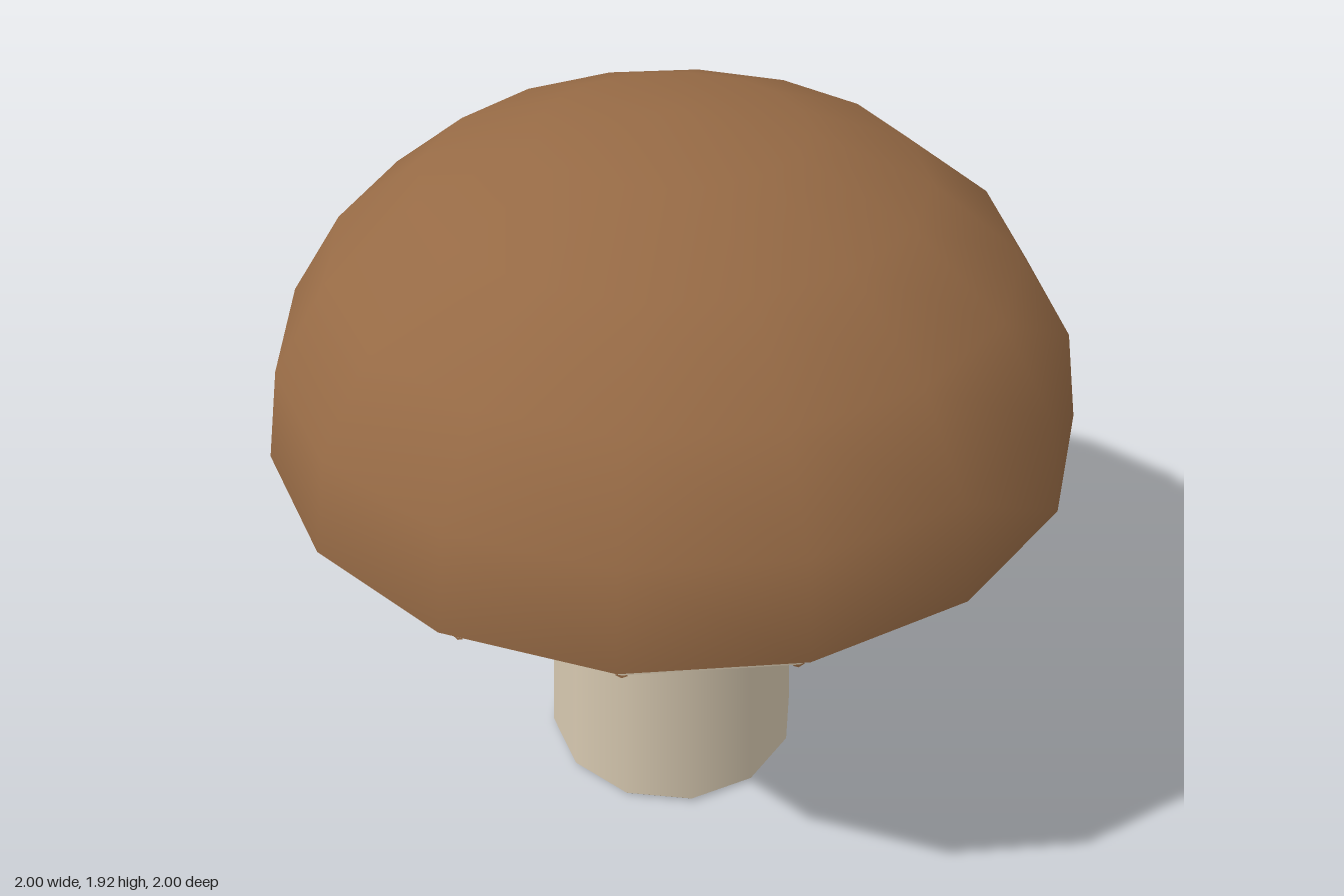
import * as THREE from 'three';

export function createModel() {
  const model = new THREE.Group();
  model.name = 'mushroom';
  const brown = new THREE.MeshStandardMaterial({ color: 0x966a45 });
  brown.name = 'cap brown';
  const cream = new THREE.MeshStandardMaterial({ color: 0xd3c5ad });
  cream.name = 'stem cream';

  function add(name, geometry, material, y, parent = model) {
    const mesh = new THREE.Mesh(geometry, material);
    mesh.name = name;
    mesh.position.y = y;
    parent.add(mesh);
    return mesh;
  }

  const rimY = 1.17;

  // Domed cap, a flattened half sphere
  const dome = new THREE.SphereGeometry(1, 16, 5, 0, Math.PI * 2, 0, Math.PI / 2);
  dome.scale(1, 0.755, 1);
  add('cap', dome, brown, rimY);

  // Flat underside closing the cap
  add('capUnderside', new THREE.CircleGeometry(1, 16).rotateX(Math.PI / 2), brown, rimY);

  // Pale disc under the cap
  add('gillDisc', new THREE.CylinderGeometry(0.945, 0.945, 0.06, 16), cream, rimY - 0.03);

  // Tapered stem with a slightly eased foot
  add('stem', new THREE.CylinderGeometry(0.305, 0.36, 1.11, 12, 1, true), cream, 0.565);
  add('stemFoot', new THREE.CylinderGeometry(0.36, 0.352, 0.01, 12), cream, 0.005);

  // Radial gills
  const gills = new THREE.Group();
  gills.name = 'gills';
  model.add(gills);
  const inner = 0.325, outer = 0.942;
  const rod = new THREE.CylinderGeometry(0.014, 0.014, outer - inner, 6);
  rod.rotateX(Math.PI / 2).translate(0, 0, (inner + outer) / 2);
  for (let i = 0; i < 16; i++) {
    add('gill', rod, brown, 1.113, gills).rotation.y = (i * Math.PI) / 8;
  }

  return model;
}
